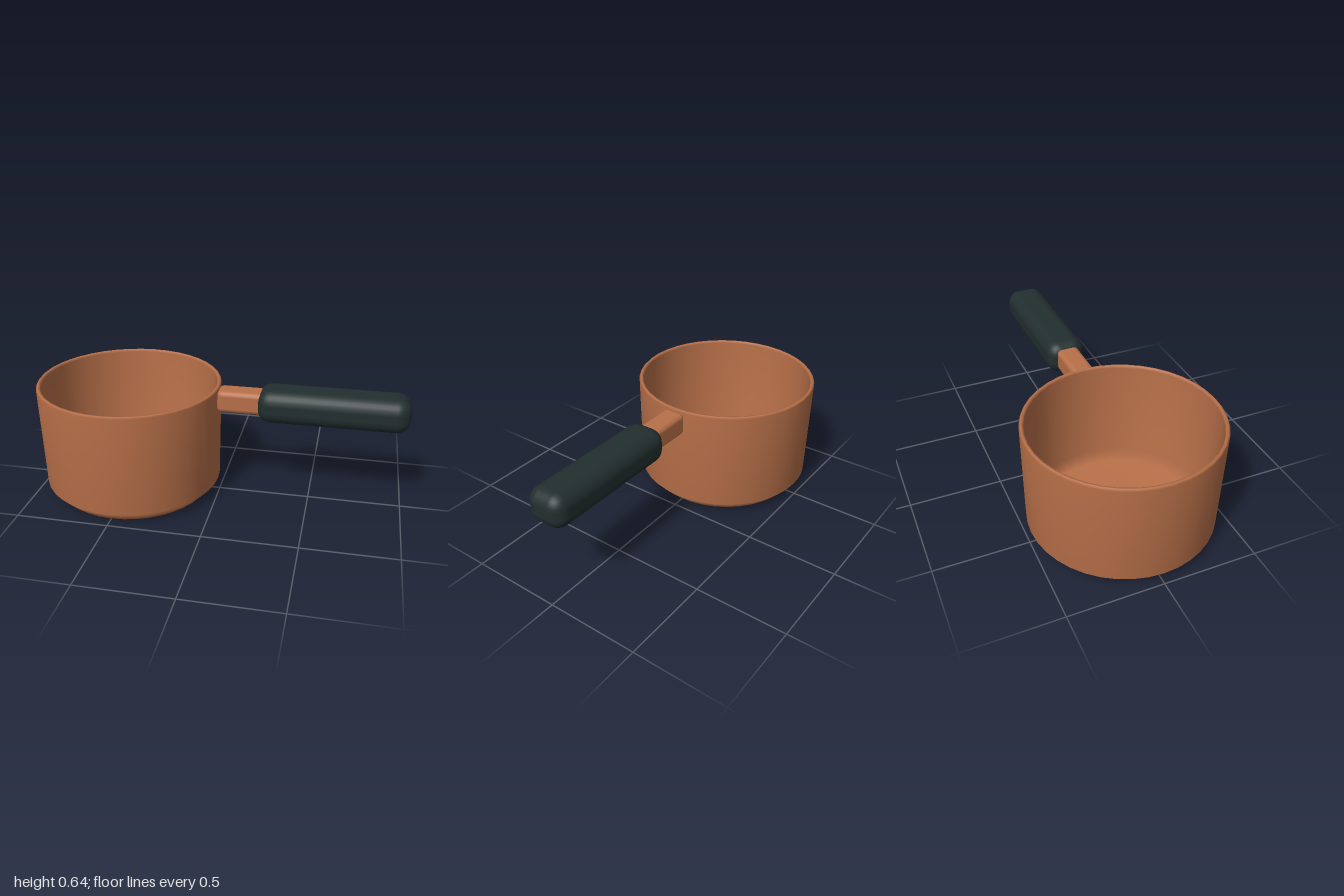
import * as THREE from 'three';
import { RoundedBoxGeometry } from 'three/addons/geometries/RoundedBoxGeometry.js';

export function createModel() {
  const model = new THREE.Group();
  model.name = 'saucepan';

  const copper = new THREE.MeshStandardMaterial({ color: 0xb87049 });
  copper.name = 'copper';
  const darkGrip = new THREE.MeshStandardMaterial({ color: 0x222e2e });
  darkGrip.name = 'dark grip';

  function add(name, geometry, material, x, y) {
    const mesh = new THREE.Mesh(geometry, material);
    mesh.name = name;
    mesh.position.set(x, y, 0);
    model.add(mesh);
  }

  // Bowl: chamfered base, slightly flared wall, bevelled rim, hollow inside
  const profile = [
    [0, 0], [0.43, 0], [0.49, 0.063], [0.5, 0.615], [0.492, 0.624],
    [0.482, 0.624], [0.476, 0.612], [0.468, 0.075], [0.42, 0.025], [0, 0.025],
  ].map(([r, y]) => new THREE.Vector2(r, y));
  add('bowl', new THREE.LatheGeometry(profile, 40), copper, -0.5, 0);

  // Stem joining the bowl to the grip
  add('stem', new RoundedBoxGeometry(0.258, 0.122, 0.122, 2, 0.027), copper, 0.121, 0.555);

  // Grip: long, fully softened block
  add('grip', new RoundedBoxGeometry(0.79, 0.184, 0.214, 3, 0.072), darkGrip, 0.605, 0.553);

  return model;
}
